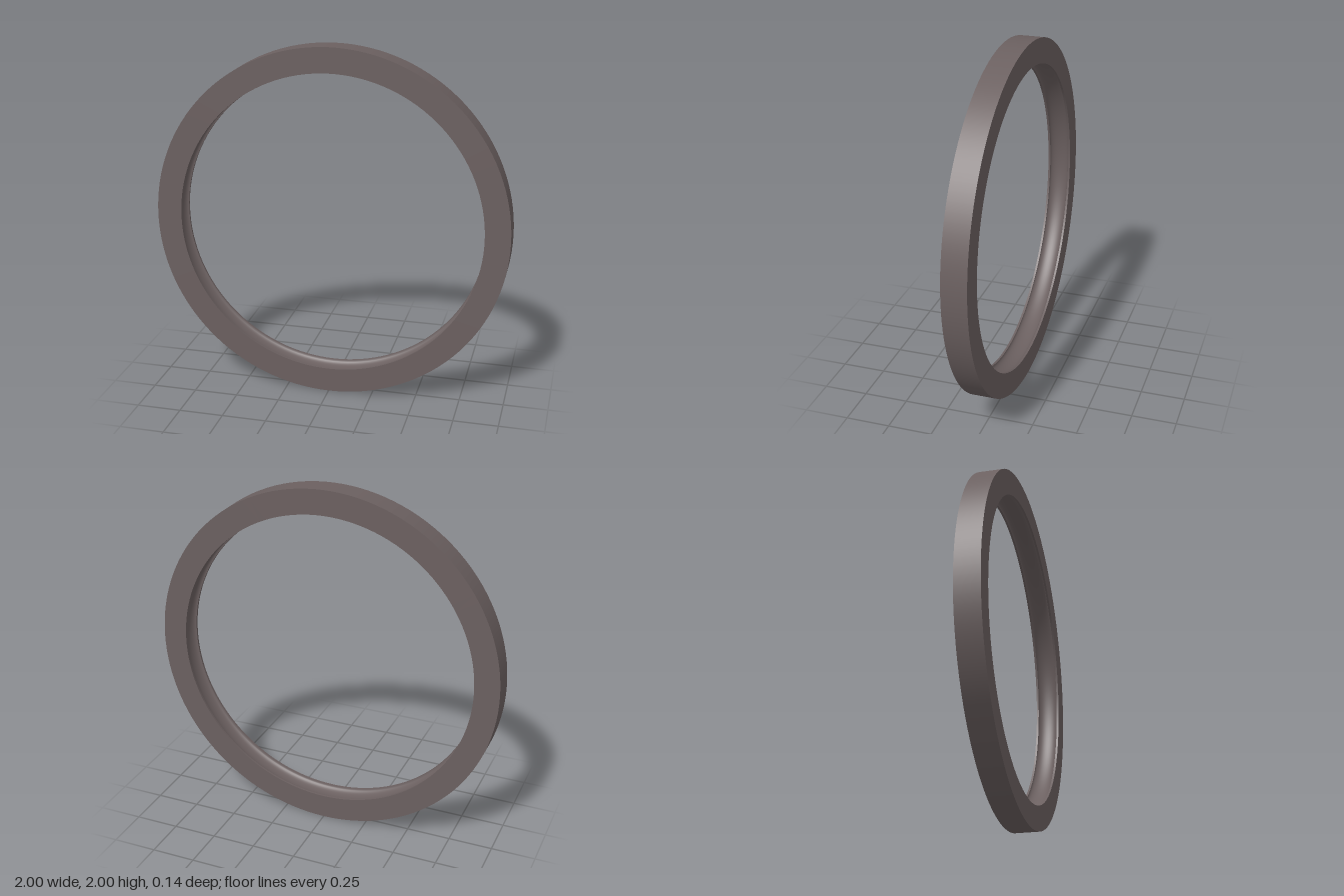
import * as THREE from 'three';

const OUTER = 1, INNER = 0.86, HALF = 0.069;
const LIP = 0.012, GROOVE = 0.03, SEGMENTS = 128;

export function createModel() {
  const group = new THREE.Group();
  group.name = 'ring';
  const material = new THREE.MeshStandardMaterial({ color: 0x6b6060 });

  // One smooth band per profile section, so the edges between them stay sharp
  function band(name, profile) {
    const points = profile.map(([r, h]) => new THREE.Vector2(r, h));
    const mesh = new THREE.Mesh(new THREE.LatheGeometry(points, SEGMENTS), material);
    mesh.name = name;
    mesh.rotation.x = Math.PI / 2;
    mesh.position.y = OUTER;
    group.add(mesh);
  }

  // Shallow rounded channel around the inside, between two narrow lips
  const edge = HALF - LIP;
  const groove = [];
  for (let i = 0; i <= 16; i++) {
    const a = (i / 16) * Math.PI;
    groove.push([INNER + GROOVE * Math.sin(a), edge * Math.cos(a)]);
  }

  band('outerRim', [[OUTER, -HALF], [OUTER, HALF]]);
  band('frontFace', [[OUTER, HALF], [INNER, HALF]]);
  band('frontLip', [[INNER, HALF], [INNER, edge]]);
  band('innerGroove', groove);
  band('backLip', [[INNER, -edge], [INNER, -HALF]]);
  band('backFace', [[INNER, -HALF], [OUTER, -HALF]]);

  return group;
}
